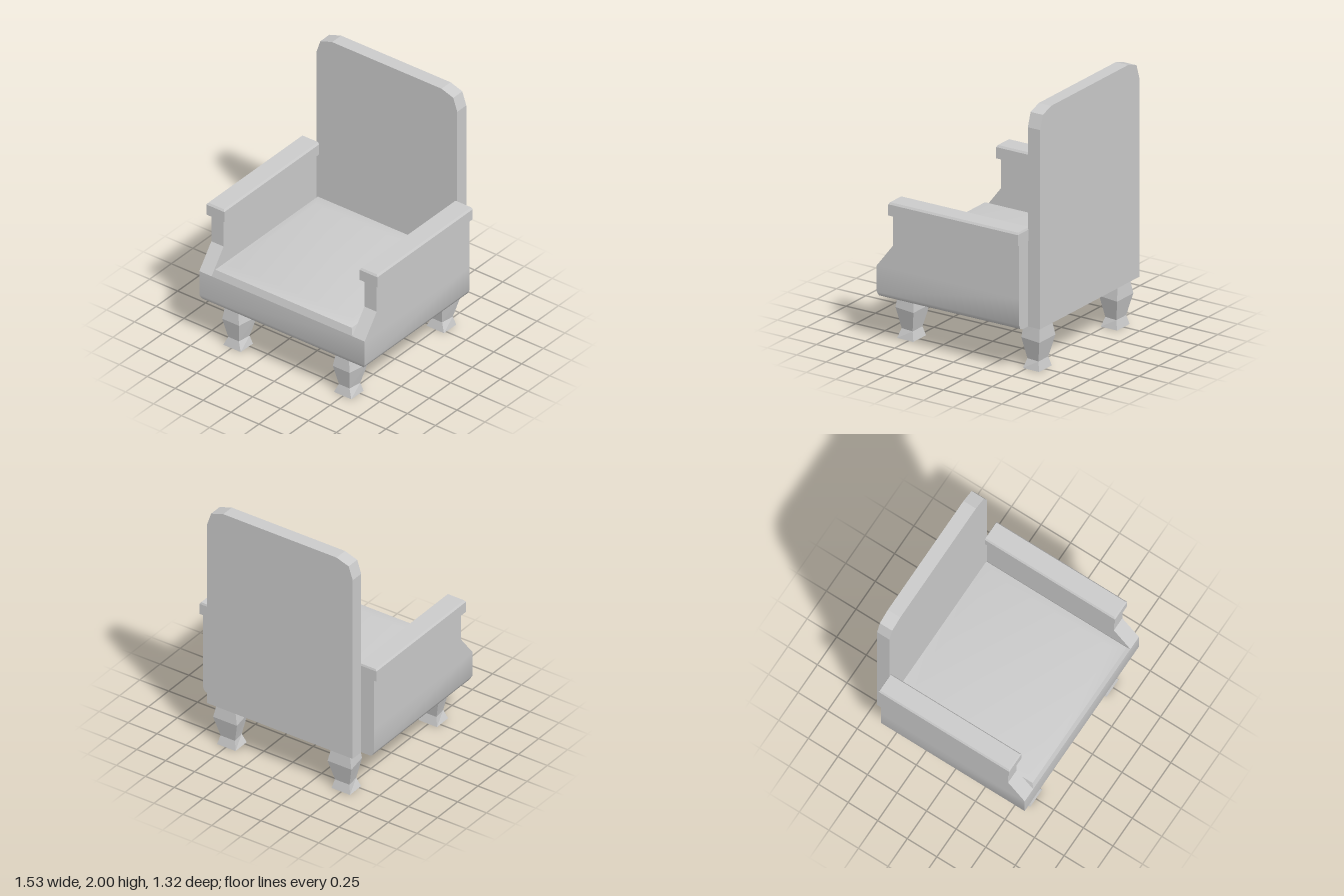
import * as THREE from 'three';
import { toCreasedNormals } from 'three/addons/utils/BufferGeometryUtils.js';

const flat = new THREE.MeshStandardMaterial({ color: 0xcccccc, flatShading: true });
const smooth = new THREE.MeshStandardMaterial({ color: 0xcccccc });

// Joins four-cornered rings from bottom to top.
// Each layer: [y, front half width, back half width, back z, front z]
function loft(layers) {
  const pos = [], index = [];
  for (const [y, wf, wb, zb, zf] of layers) {
    pos.push(wf, y, zf, wb, y, zb, -wb, y, zb, -wf, y, zf);
  }
  for (let l = 0; l < layers.length - 1; l++) {
    for (let i = 0; i < 4; i++) {
      const a = l * 4 + i, b = l * 4 + (i + 1) % 4;
      index.push(a, b, b + 4, a, b + 4, a + 4);
    }
  }
  const t = (layers.length - 1) * 4;
  index.push(0, 2, 1, 0, 3, 2, t, t + 1, t + 2, t, t + 2, t + 3);
  const geo = new THREE.BufferGeometry();
  geo.setAttribute('position', new THREE.Float32BufferAttribute(pos, 3));
  geo.setIndex(index);
  geo.computeVertexNormals();
  return geo;
}

function outline(points) {
  return new THREE.Shape(points.map(([x, y]) => new THREE.Vector2(x, y)));
}

export function createModel() {
  const chair = new THREE.Group();
  chair.name = 'armchair';
  const add = (name, geo, mat, x = 0, z = 0) => {
    const mesh = new THREE.Mesh(geo, mat);
    mesh.name = name;
    mesh.position.set(x, 0, z);
    chair.add(mesh);
    return mesh;
  };

  // Seat base with softened lower edge
  add('seatBase', toCreasedNormals(loft([
    [0.35, 0.70, 0.70, -0.555, 0.635],
    [0.36, 0.725, 0.725, -0.555, 0.65],
    [0.39, 0.74, 0.74, -0.555, 0.66],
    [0.59, 0.74, 0.74, -0.555, 0.66],
  ]), 0.85), smooth);

  // Softly crowned seat cushion
  add('seatCushion', toCreasedNormals(loft([
    [0.59, 0.63, 0.63, -0.555, 0.66],
    [0.645, 0.61, 0.61, -0.545, 0.642],
    [0.66, 0.55, 0.55, -0.44, 0.55],
  ]), 0.85), smooth);

  // Tall back panel with cut upper corners
  const right = [[0.63, 0.35], [0.63, 1.86], [0.595, 1.965], [0.49, 2]];
  const left = right.map(([x, y]) => [-x, y]).reverse();
  const backGeo = new THREE.ExtrudeGeometry(outline([...right, ...left]), { depth: 0.105, bevelEnabled: false });
  add('backrest', backGeo, flat, 0, -0.66);

  // Arm panels with sloping fronts, and their capped rests
  const armGeo = new THREE.ExtrudeGeometry(outline([
    [-0.555, 0.59], [0.66, 0.59], [0.52, 0.77], [0.52, 1.0], [-0.555, 1.0],
  ]), { depth: 0.11, bevelEnabled: false });
  armGeo.rotateY(-Math.PI / 2).translate(0.055, 0, 0);
  const restGeo = loft([
    [1.0, 0.08, 0.08, -0.56, 0.545],
    [1.085, 0.08, 0.08, -0.56, 0.545],
    [1.1, 0.07, 0.07, -0.555, 0.535],
  ]);

  // Faceted legs: bulging knee, thin ankle, flared foot
  const legGeo = loft([
    [0, 0.078, 0.08, -0.07, 0.07],
    [0.07, 0.048, 0.063, -0.052, 0.052],
    [0.23, 0.075, 0.103, -0.086, 0.086],
    [0.36, 0.055, 0.075, -0.07, 0.07],
  ]);

  for (const [side, s] of [['left', 1], ['right', -1]]) {
    add(side + 'ArmPanel', armGeo, flat, s * 0.685);
    add(side + 'ArmRest', restGeo, flat, s * 0.685);
    add(side + 'FrontLeg', legGeo, flat, s * 0.495, 0.528);
    add(side + 'BackLeg', legGeo, flat, s * 0.495, -0.545);
  }
  return chair;
}
